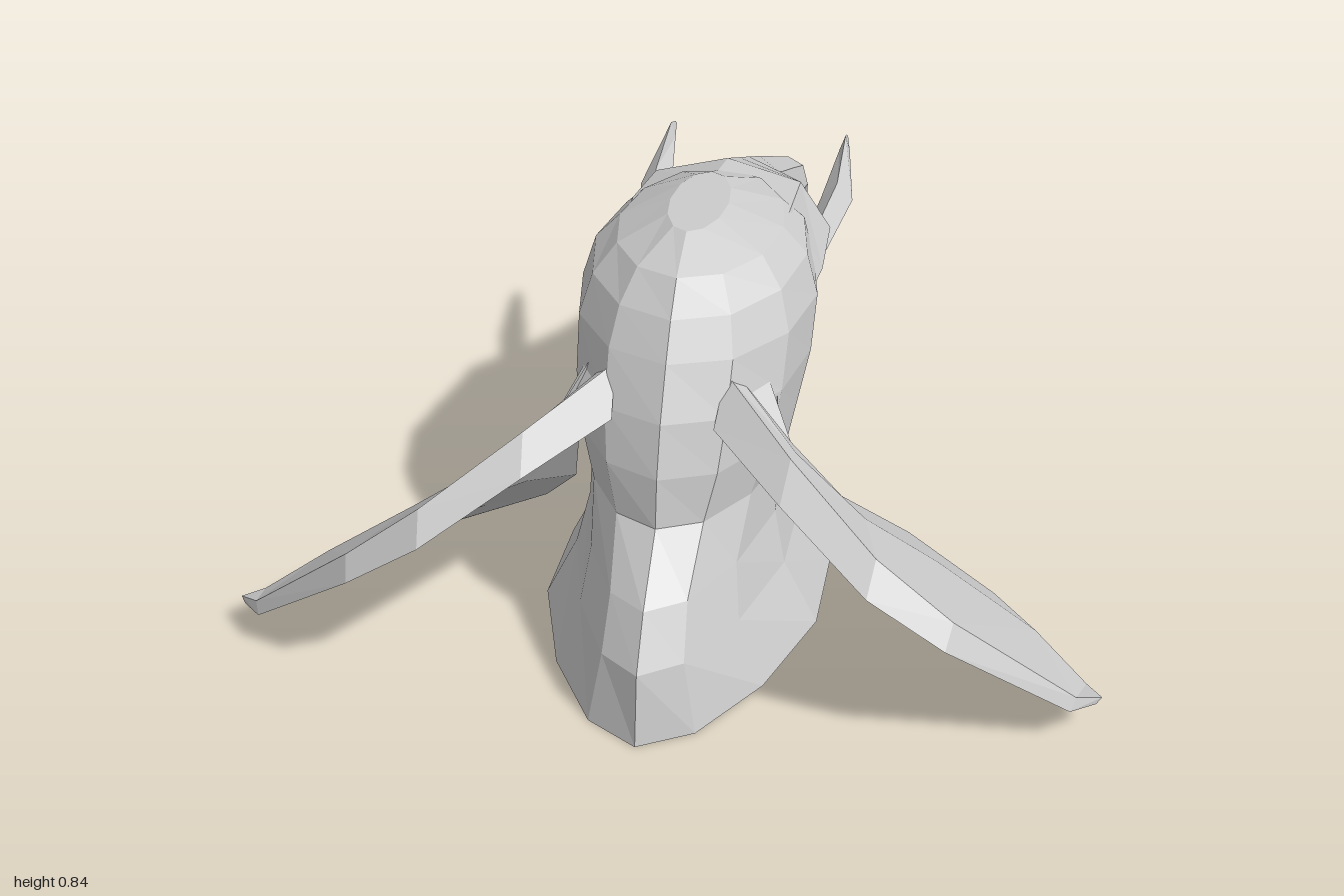
import * as THREE from 'three';

const mat = new THREE.MeshStandardMaterial({ color: 0xcccccc, flatShading: true });
const V = (x, y, z) => new THREE.Vector3(x, y, z);

// Closed faceted skin over a list of rings; both ends are capped at their centres
function skin(name, rings) {
  const cap = (r) => {
    const c = r.reduce((s, p) => s.add(p), V(0, 0, 0)).divideScalar(r.length);
    return r.map(() => c);
  };
  const all = [cap(rings[0]), ...rings, cap(rings[rings.length - 1])];
  const n = rings[0].length, pos = [];
  const tri = (a, b, c) => {
    if (a.distanceTo(b) < 1e-6 || b.distanceTo(c) < 1e-6 || a.distanceTo(c) < 1e-6) return;
    for (const p of [a, b, c]) pos.push(p.x, p.y, p.z);
  };
  for (let i = 0; i < all.length - 1; i++) {
    for (let j = 0; j < n; j++) {
      const k = (j + 1) % n;
      tri(all[i][j], all[i][k], all[i + 1][j]);
      tri(all[i][k], all[i + 1][k], all[i + 1][j]);
    }
  }
  const g = new THREE.BufferGeometry();
  g.setAttribute('position', new THREE.Float32BufferAttribute(pos, 3));
  g.computeVertexNormals();
  const m = new THREE.Mesh(g, mat);
  m.name = name;
  return m;
}

// Section: [z1, y1, z2, y2, halfWidth, centreX, egg], an oval between two
// side-profile points; egg narrows it towards the first point
function loft(name, sections, sides) {
  return skin(name, sections.map(([z1, y1, z2, y2, w, cx = 0, egg = 0]) =>
    Array.from({ length: sides }, (_, i) => {
      const t = (i / sides) * Math.PI * 2, c = Math.cos(t) / 2;
      const x = cx + w * Math.sin(t) * (1 - 2 * egg * c);
      return V(x, (y1 + y2) / 2 + (y1 - y2) * c, (z1 + z2) / 2 + (z1 - z2) * c);
    })));
}

// Ear swept from root to tip: each section is [rear lip, front edge, rim height, bulge]
function makeEar() {
  const out = V(0.172, 0.319, -0.186).normalize();
  const sections = [
    [[0.1, 0.55, 0.7], [0.17, 0.66, 0.46], 0.08, 0.02],
    [[0.25, 0.48, 0.83], [0.2, 0.43, 0.57], 0.065, 0.07],
    [[0.43, 0.37, 0.94], [0.25, 0.22, 0.43], 0.055, 0.09],
    [[0.58, 0.27, 0.94], [0.37, 0.03, 0.25], 0.04, 0.09],
    [[0.82, 0.08, 0.84], [0.55, 0.01, 0.36], 0.02, 0.06],
    [[0.87, 0.065, 0.79], [0.8, 0.02, 0.64], 0.01, 0.015],
  ];
  return skin('ear', sections.map(([r, f, rim, bulge]) => {
    const lip = V(...r), front = V(...f);
    const at = (s, h) => front.clone().lerp(lip, s).addScaledVector(out, h);
    const top = lip.clone().add(V(0.01, rim, -rim));
    return [front, at(0.3, bulge * 0.8), at(0.62, bulge), top, lip, at(0.65, bulge * 0.45), at(0.3, bulge * 0.35)];
  }));
}

function makeTusk() {
  return loft('tusk', [
    [-0.02, 0.59, -0.02, 0.52, 0.03, 0.18],
    [-0.23, 0.63, -0.23, 0.55, 0.036, 0.21],
    [-0.39, 0.675, -0.37, 0.61, 0.012, 0.207],
    [-0.43, 0.66, -0.43, 0.65, 0.003, 0.205],
  ], 4);
}

export function createModel() {
  const model = new THREE.Group();
  model.name = 'elephantBust';

  // Neck flaring to a flat base, with the skull above it
  model.add(loft('neckAndHead', [
    [1.0, 0, 0.11, 0, 0.29, 0, 0.3],
    [0.97, 0.15, 0.14, 0.14, 0.22, 0, 0.3],
    [0.9, 0.25, 0.15, 0.25, 0.195, 0, 0.25],
    [0.78, 0.36, 0.15, 0.34, 0.2, 0, 0.15],
    [0.76, 0.46, 0.07, 0.44, 0.22],
    [0.72, 0.56, 0.02, 0.54, 0.24],
    [0.66, 0.66, -0.01, 0.65, 0.245],
    [0.61, 0.73, 0.0, 0.74, 0.22],
    [0.55, 0.79, 0.04, 0.78, 0.17],
    [0.45, 0.84, 0.18, 0.84, 0.06],
  ], 12));

  // Face narrowing into the raised trunk
  model.add(loft('trunk', [
    [0.46, 0.8, 0.4, 0.5, 0.22],
    [0.2, 0.83, 0.16, 0.44, 0.235],
    [0.0, 0.785, -0.02, 0.48, 0.225],
    [-0.14, 0.72, -0.11, 0.52, 0.145],
    [-0.27, 0.66, -0.24, 0.45, 0.1],
    [-0.42, 0.59, -0.4, 0.37, 0.085],
    [-0.65, 0.48, -0.62, 0.31, 0.07],
    [-0.88, 0.37, -0.8, 0.26, 0.058],
    [-0.94, 0.3, -0.86, 0.21, 0.05],
    [-1.0, 0.13, -0.92, 0.13, 0.03],
  ], 8));

  // Lower jaw under the trunk root
  model.add(loft('lowerJaw', [
    [0.15, 0.55, 0.12, 0.4, 0.13],
    [0.0, 0.54, 0.02, 0.45, 0.1],
    [-0.09, 0.51, -0.07, 0.46, 0.05],
  ], 6));

  // Paired ears and tusks
  for (const side of [1, -1]) {
    const pair = new THREE.Group();
    pair.name = side > 0 ? 'leftEarAndTusk' : 'rightEarAndTusk';
    pair.add(makeEar(), makeTusk());
    pair.scale.x = side;
    model.add(pair);
  }
  return model;
}
